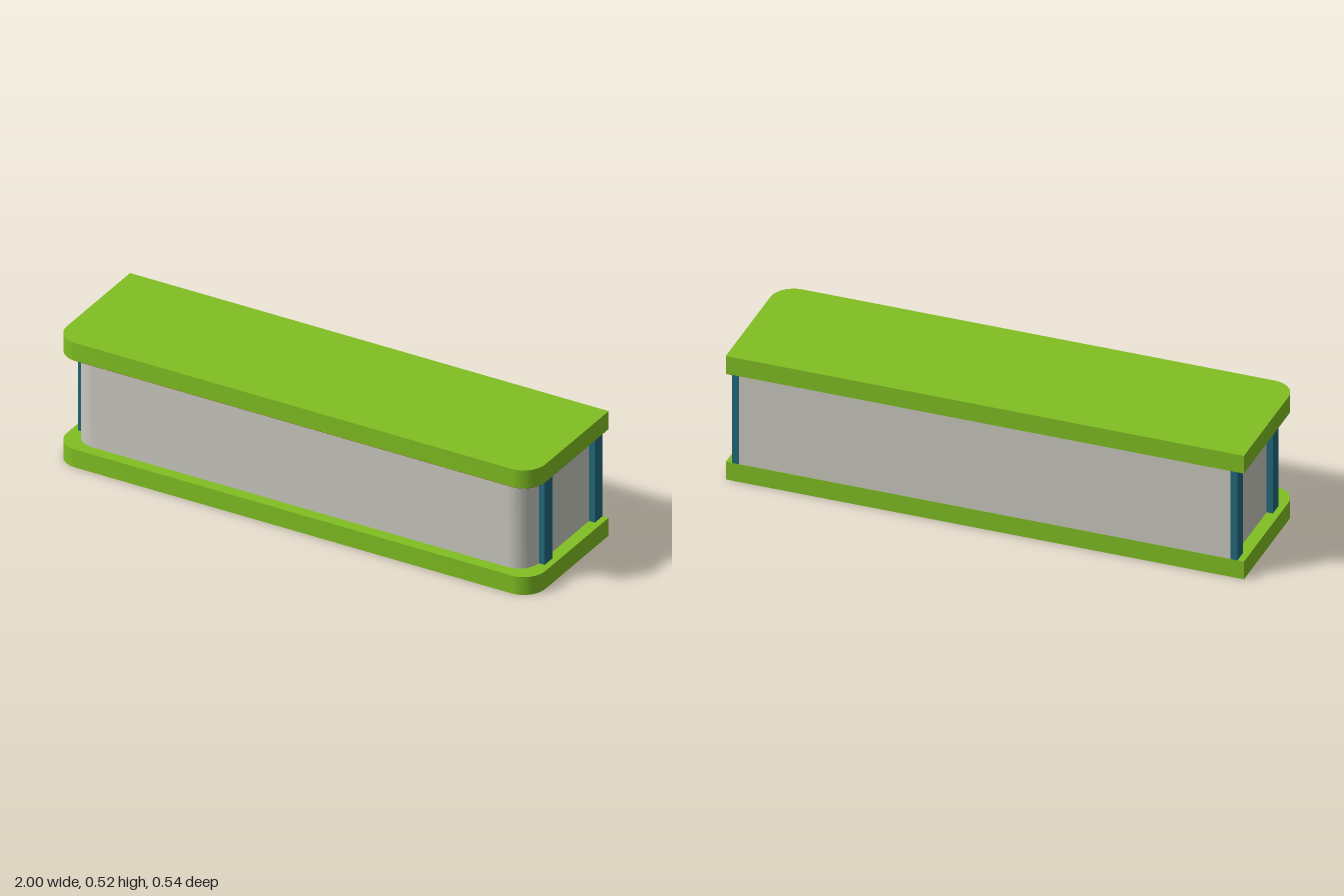
import * as THREE from 'three';
import { toCreasedNormals } from 'three/addons/utils/BufferGeometryUtils.js';

const makeMaterial = (name, color) => {
  const m = new THREE.MeshStandardMaterial({ color });
  m.name = name;
  return m;
};

// Upright slab with a square back and two rounded front corners
function slab(halfWidth, back, front, radius, bottom, top) {
  const s = new THREE.Shape();
  s.moveTo(halfWidth, -back);
  s.lineTo(-halfWidth, -back);
  s.lineTo(-halfWidth, -front + radius);
  s.absarc(-halfWidth + radius, -front + radius, radius, Math.PI, Math.PI * 1.5, false);
  s.lineTo(halfWidth - radius, -front);
  s.absarc(halfWidth - radius, -front + radius, radius, -Math.PI / 2, 0, false);
  s.closePath();
  const g = new THREE.ExtrudeGeometry(s, { depth: top - bottom, bevelEnabled: false, curveSegments: 12 });
  g.rotateX(-Math.PI / 2);
  g.translate(0, bottom, 0);
  return toCreasedNormals(g, 0.6);
}

export function createModel() {
  const green = makeMaterial('green', 0x80bf22);
  const grey = makeMaterial('warm grey', 0xc9c9bf);
  const teal = makeMaterial('teal', 0x22687b);
  const red = makeMaterial('dark red', 0xa82a2a);

  const model = new THREE.Group();
  model.name = 'counter';
  const add = (name, geometry, material) => {
    const mesh = new THREE.Mesh(geometry, material);
    mesh.name = name;
    model.add(mesh);
    return mesh;
  };

  // Base, body and top
  add('base', slab(1, -0.271, 0.271, 0.09, 0, 0.074), green);
  add('body', slab(0.951, -0.27, 0.225, 0.085, 0.074, 0.442), grey);
  add('top', slab(1, -0.271, 0.271, 0.09, 0.442, 0.516), green);
  add('topUnderside', slab(0.999, -0.27, 0.27, 0.09, 0.4405, 0.442), red);

  // Two posts standing proud of each end
  for (const side of [-1, 1]) {
    for (const [name, z0, z1] of [['frontPost', 0.087, 0.143], ['backPost', -0.271, -0.215]]) {
      const post = add(name, new THREE.BoxGeometry(0.026, 0.368, z1 - z0), teal);
      post.position.set(side * 0.962, 0.258, (z0 + z1) / 2);
    }
  }
  return model;
}
